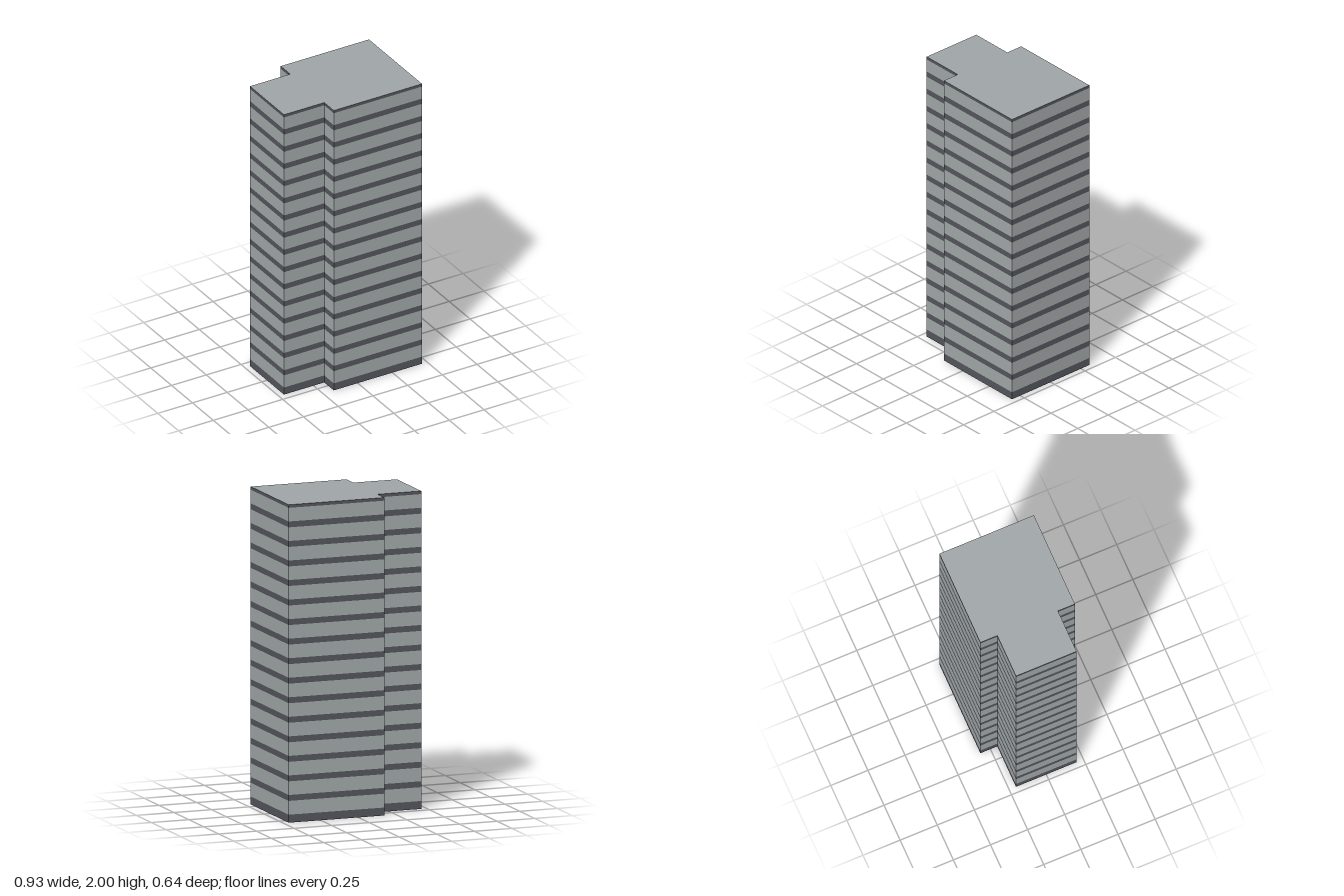
import * as THREE from 'three';

// Footprint corners [x, z], running left to right along the front
const FOOTPRINT = [
  [-0.463, 0.204], [-0.173, 0.204], [-0.173, 0.318], [0.463, 0.318],
  [0.463, -0.318], [-0.173, -0.318], [-0.173, -0.204], [-0.463, -0.204],
];
const HEIGHT = 2;
const FLOOR = 0.1229; // storey spacing
const BAND = 0.037;   // window band height

// Flat-faced ring of wall panels following the footprint
function wallRing(y0, y1) {
  const pos = [];
  FOOTPRINT.forEach(([ax, az], i) => {
    const [bx, bz] = FOOTPRINT[(i + 1) % FOOTPRINT.length];
    pos.push(ax, y0, az, bx, y0, bz, bx, y1, bz);
    pos.push(ax, y0, az, bx, y1, bz, ax, y1, az);
  });
  const geo = new THREE.BufferGeometry();
  geo.setAttribute('position', new THREE.Float32BufferAttribute(pos, 3));
  geo.computeVertexNormals();
  return geo;
}

export function createModel() {
  const concrete = new THREE.MeshStandardMaterial({ color: 0x9fa5a6, side: THREE.DoubleSide });
  concrete.name = 'grey concrete';
  const glass = new THREE.MeshStandardMaterial({ color: 0x53555c, side: THREE.DoubleSide });
  glass.name = 'dark window band';

  const tower = new THREE.Group();
  tower.name = 'towerBlock';
  const add = (name, geo, mat) => {
    const mesh = new THREE.Mesh(geo, mat);
    mesh.name = name;
    tower.add(mesh);
    return mesh;
  };

  // Dark base course
  let y = 0.05;
  add('baseBand', wallRing(0, y), glass);

  // Alternating wall and window bands, the last one cut off by the roof
  for (let i = 0; i < 16; i++) {
    const bottom = 0.137 + i * FLOOR;
    const top = Math.min(bottom + BAND, HEIGHT);
    add(`wall${i + 1}`, wallRing(y, bottom), concrete);
    add(`windowBand${i + 1}`, wallRing(bottom, top), glass);
    y = top;
  }

  // Flat roof; the underside of the tower stays open
  const outline = new THREE.Shape(FOOTPRINT.map(([x, z]) => new THREE.Vector2(x, -z)));
  const roof = add('roof', new THREE.ShapeGeometry(outline).rotateX(-Math.PI / 2), concrete);
  roof.position.y = HEIGHT;

  return tower;
}
